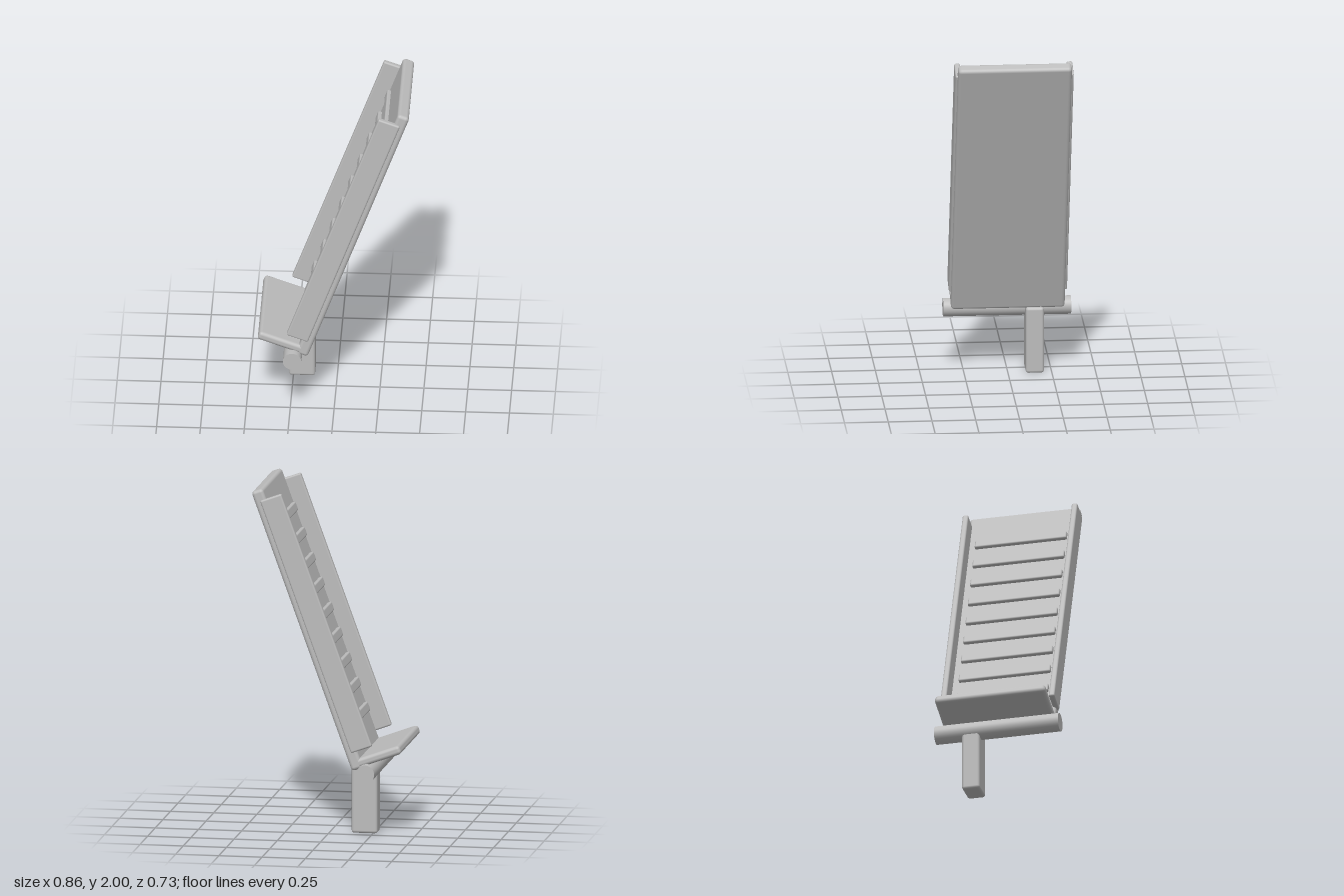
import * as THREE from 'three';
import { RoundedBoxGeometry } from 'three/addons/geometries/RoundedBoxGeometry.js';

export function createModel() {
  const model = new THREE.Group();
  model.name = 'hingedRungPanel';
  const grey = new THREE.MeshStandardMaterial({ color: 0xbcbcbc });
  grey.name = 'plain grey';

  const addBox = (parent, name, size, position, radius) => {
    const mesh = new THREE.Mesh(new RoundedBoxGeometry(...size, 2, radius), grey);
    mesh.name = name;
    mesh.position.set(...position);
    parent.add(mesh);
    return mesh;
  };

  // Everything on the leaning panel shares one tilted frame:
  // local y runs up the panel, local -x points out of its ribbed face.
  const panel = new THREE.Group();
  panel.name = 'leaningPanel';
  panel.position.set(0.11, 1.192, 0);
  panel.rotation.z = -THREE.MathUtils.degToRad(20);
  model.add(panel);

  addBox(panel, 'backBoard', [0.07, 1.705, 0.65], [0, 0, 0], 0.02);

  // Raised side rails
  for (const side of [-1, 1]) {
    addBox(panel, side > 0 ? 'frontRail' : 'backRail',
      [0.13, 1.54, 0.034], [-0.065, 0.02, side * 0.321], 0.01);
  }

  // Cross ribs, half sunk into the board
  for (let i = 0; i < 9; i++) {
    addBox(panel, 'rib' + (i + 1), [0.04, 0.054, 0.54],
      [-0.036, -0.597 + i * 0.1525, 0], 0.009);
  }

  // Toe plate, square to the board at its lower end
  addBox(panel, 'toePlate', [0.275, 0.052, 0.65], [-0.1375, -0.82, 0], 0.02);

  // Hinge bar and the single offset post
  const bar = new THREE.Mesh(new THREE.CylinderGeometry(0.053, 0.053, 0.73, 32), grey);
  bar.name = 'hingeBar';
  bar.rotation.x = Math.PI / 2;
  bar.position.set(-0.234, 0.373, 0);
  model.add(bar);

  addBox(model, 'post', [0.15, 0.39, 0.104], [-0.201, 0.195, -0.153], 0.016);

  return model;
}
